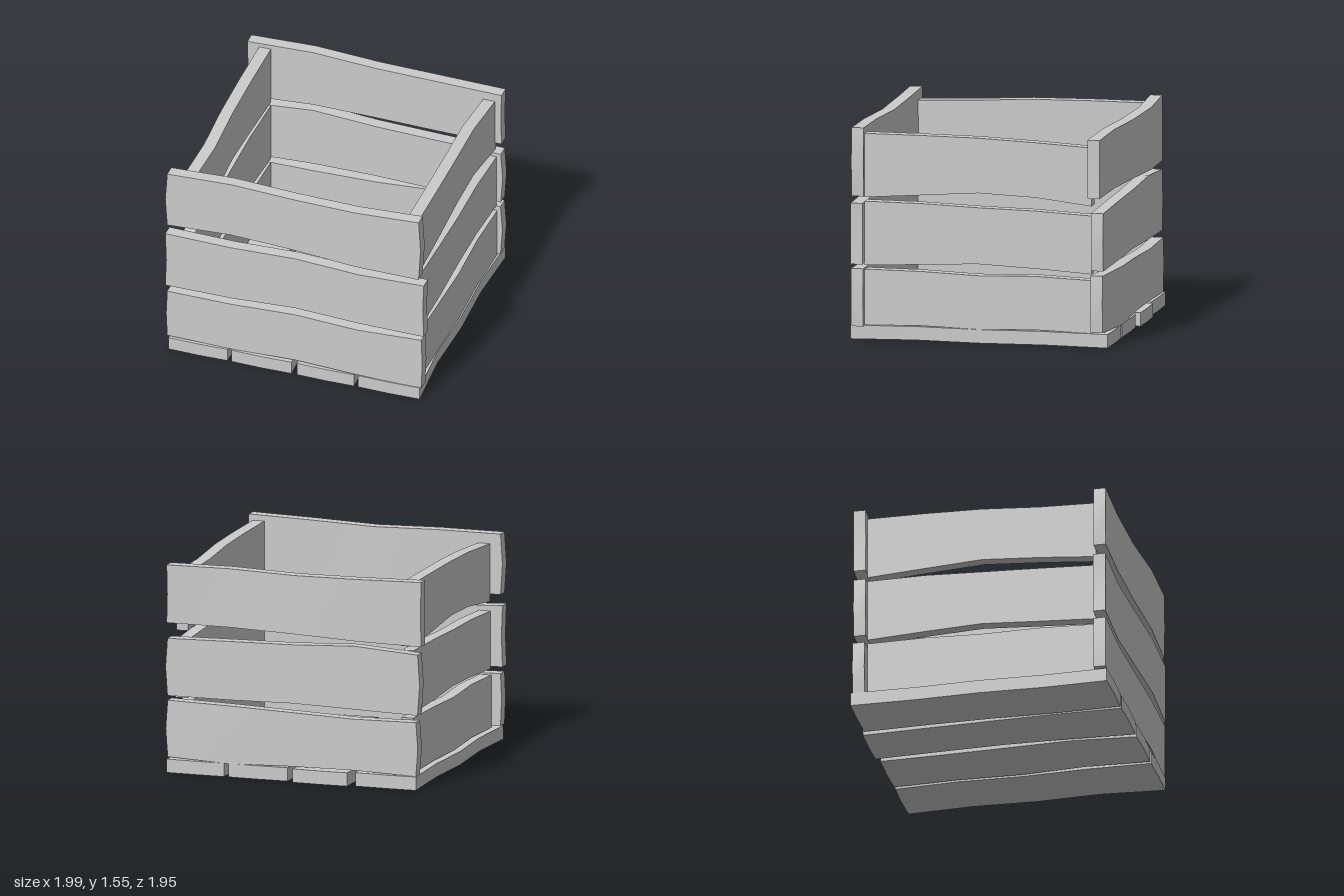
import * as THREE from 'three';

const material = new THREE.MeshStandardMaterial({ color: 0xcccccc });

// Linear lookup in a list of evenly spaced stations, t from 0 to 1.
function sample(list, t) {
  const s = t * (list.length - 1);
  const i = Math.min(Math.floor(s), list.length - 2);
  return THREE.MathUtils.lerp(list[i], list[i + 1], s - i);
}

// Warped plank: runs along x from a to b, with low and high edges and a
// sideways centre line given at five stations; thickness along z.
function plank(name, { a, b, lo, hi, mid, thick = 0.09, bow = 0.015 }) {
  const geo = new THREE.BoxGeometry(1, 1, 1, 4, 2, 1);
  const p = geo.attributes.position;
  for (let i = 0; i < p.count; i++) {
    const t = p.getX(i) + 0.5;
    const h = p.getY(i) + 0.5;
    const atEnd = t < 0.01 ? -1 : t > 0.99 ? 1 : 0;
    const bulge = h > 0.4 && h < 0.6 ? atEnd * bow : 0;
    p.setXYZ(
      i,
      THREE.MathUtils.lerp(a, b, t) + bulge,
      THREE.MathUtils.lerp(sample(lo, t), sample(hi, t), h),
      sample(mid, t) + p.getZ(i) * thick
    );
  }
  geo.computeVertexNormals();
  const mesh = new THREE.Mesh(geo, material);
  mesh.name = name;
  return mesh;
}

export function createModel() {
  const crate = new THREE.Group();
  crate.name = 'slattedCrate';

  // Floor slats, running front to back
  const floor = [
    { lo: [-0.96, -0.95, -0.97, -0.95, -0.97], hi: [-0.495, -0.505, -0.515, -0.5, -0.515] },
    { lo: [-0.44, -0.455, -0.475, -0.48, -0.485], hi: [-0.02, -0.035, -0.055, -0.04, -0.02] },
    { lo: [0.025, 0.02, 0, -0.01, 0.02], hi: [0.48, 0.465, 0.475, 0.45, 0.46] },
    { lo: [0.515, 0.495, 0.505, 0.49, 0.49], hi: [0.955, 0.935, 0.95, 0.935, 0.965] },
  ];
  const lay = new THREE.Matrix4().makeBasis(
    new THREE.Vector3(0, 0, 1), new THREE.Vector3(1, 0, 0), new THREE.Vector3(0, 1, 0));
  floor.forEach((f, i) => {
    const slat = plank('floorSlat' + (i + 1), {
      ...f, a: i === 1 ? -0.975 : -0.95, b: 0.96, mid: [0.05, 0.052, 0.05, 0.053, 0.05], thick: 0.1, bow: 0.005,
    });
    slat.geometry.applyMatrix4(lay);
    crate.add(slat);
  });

  // Front boards, bottom to top
  const front = [
    { a: -0.98, b: 0.975, lo: [0.115, 0.1, 0.115, 0.11, 0.095], hi: [0.505, 0.495, 0.515, 0.505, 0.52],
      mid: [0.91, 0.9, 0.9, 0.92, 0.91], bow: 0.008 },
    { a: -0.995, b: 0.995, lo: [0.555, 0.545, 0.575, 0.57, 0.555], hi: [1.01, 0.99, 1.01, 1.0, 1.005],
      mid: [0.91, 0.895, 0.9, 0.925, 0.91], bow: -0.008 },
    { a: -0.98, b: 0.955, lo: [1.09, 1.1, 1.085, 1.065, 1.05], hi: [1.54, 1.545, 1.53, 1.54, 1.555],
      mid: [0.91, 0.89, 0.9, 0.925, 0.91] },
  ];
  front.forEach((f, i) => crate.add(plank('frontBoard' + (i + 1), f)));

  // Back boards, bottom to top
  const back = [
    { a: -0.955, b: 0.96, lo: [0.1, 0.115, 0.11, 0.1, 0.11], hi: [0.5, 0.495, 0.51, 0.53, 0.53],
      mid: [-0.89, -0.9, -0.895, -0.915, -0.87] },
    { a: -0.965, b: 0.96, lo: [0.55, 0.565, 0.575, 0.565, 0.565], hi: [1.0, 1.035, 1.01, 1.0, 0.99],
      mid: [-0.88, -0.89, -0.88, -0.875, -0.875] },
    { a: -0.99, b: 0.975, lo: [1.06, 1.075, 1.09, 1.1, 1.1], hi: [1.54, 1.535, 1.525, 1.535, 1.53],
      mid: [-0.875, -0.905, -0.88, -0.855, -0.85], bow: -0.005 },
  ];
  back.forEach((f, i) => crate.add(plank('backBoard' + (i + 1), f)));

  // Side boards between front and back; the same set turned round for the right
  const side = [
    { lo: [0.1, 0.11, 0.1, 0.11, 0.1], hi: [0.51, 0.51, 0.495, 0.505, 0.49], mid: [0, 0.01, 0.015, 0.005, 0.01] },
    { lo: [0.54, 0.56, 0.58, 0.56, 0.535], hi: [1.01, 1.01, 0.995, 0.985, 0.965], mid: [0, 0.01, 0.01, 0, 0.005] },
    { lo: [1.04, 1.07, 1.1, 1.08, 1.035], hi: [1.51, 1.51, 1.505, 1.485, 1.465], mid: [0, 0, -0.005, -0.02, 0] },
  ];
  for (const [label, s, x, a, b] of [['left', 1, 0.88, -0.865, 0.825], ['right', -1, -0.855, -0.835, 0.865]]) {
    const wall = new THREE.Group();
    wall.name = label + 'Side';
    side.forEach((f, i) => wall.add(plank(label + 'Board' + (i + 1), { ...f, a, b, bow: 0 })));
    wall.rotation.y = s * Math.PI / 2;
    wall.position.x = x;
    crate.add(wall);
  }
  return crate;
}
